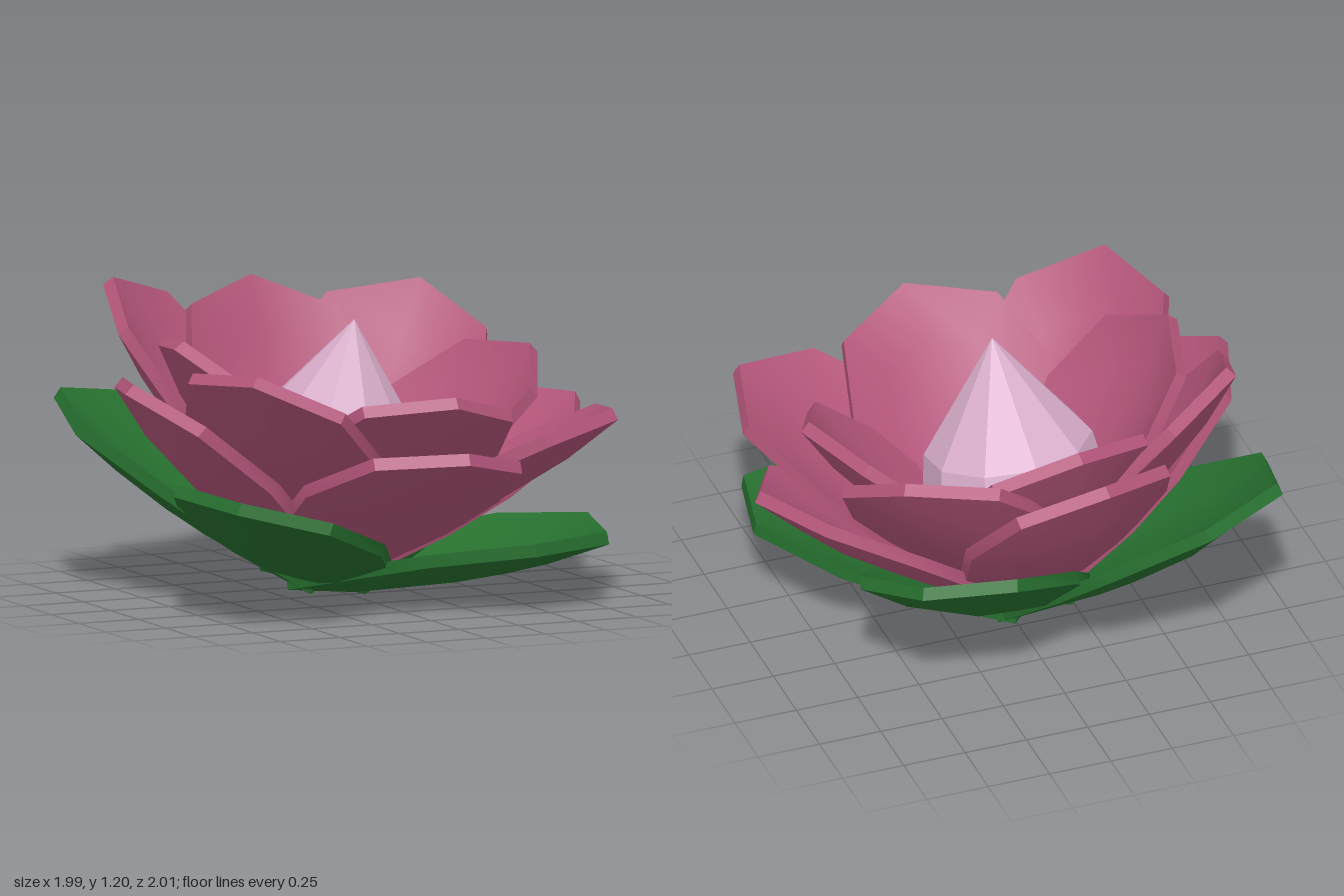
import * as THREE from 'three';
import { toCreasedNormals } from 'three/addons/utils/BufferGeometryUtils.js';

const material = (color) => new THREE.MeshStandardMaterial({ color });
const PINK = material(0xb3557a), GREEN = material(0x27702f), PALE = material(0xd9aecb);

// Half outline of a petal: [half width, fraction of length], tip to base
const HALF = [[0, 1], [0.32, 0.86], [0.42, 0.55], [0.37, 0.32], [0.21, 0.04]];
const OUTLINE = [...HALF, ...HALF.slice(1).reverse().map(([w, u]) => [-w, u])];

// Thick petal lying along +z, hollow side up: dished in the middle, sides curled up
function petalGeometry(length, dish, curl, thickness) {
  const rings = [[0, 0], [0.6, 0], [1, 0], [1, -thickness], [0.6, -thickness], [0, -thickness]];
  const n = OUTLINE.length, pos = [], index = [];
  for (const [rho, drop] of rings) {
    for (const [w, u] of OUTLINE) {
      const x = w * rho;
      pos.push(x, drop + curl * x * x - dish * (1 - rho * rho), (0.5 + (u - 0.5) * rho) * length);
    }
  }
  for (let k = 0; k < rings.length - 1; k++) {
    for (let i = 0; i < n; i++) {
      const j = (i + 1) % n, a = k * n + i, b = a + n, c = (k + 1) * n + j, d = k * n + j;
      if (rings[k + 1][0] > 0) index.push(a, b, c);
      if (rings[k][0] > 0) index.push(a, c, d);
    }
  }
  const g = new THREE.BufferGeometry();
  g.setAttribute('position', new THREE.Float32BufferAttribute(pos, 3));
  g.setIndex(index);
  return toCreasedNormals(g, 0.6);
}

// Ring of petals from a shared base radius and height to tips [turn in degrees, radius, height]
function whorl(name, mat, r0, h0, tips) {
  const group = new THREE.Group();
  group.name = name + 's';
  for (const [turn, r1, h1] of tips) {
    const geometry = petalGeometry(Math.hypot(r1 - r0, h1 - h0), 0.07, 0.35, 0.05);
    geometry.rotateX(-Math.atan2(h1 - h0, r1 - r0));
    geometry.translate(0, h0, r0);
    const petal = new THREE.Mesh(geometry, mat);
    petal.name = name;
    petal.rotation.y = THREE.MathUtils.degToRad(turn);
    group.add(petal);
  }
  return group;
}

export function createModel() {
  const model = new THREE.Group();
  model.name = 'flower';
  const up = new THREE.Vector3(0, 1, 0);

  // Leaning blossom, each ring in the order front, right, back, left
  const blossom = new THREE.Group();
  blossom.name = 'blossom';
  blossom.position.set(-0.08, 0, -0.14);
  blossom.quaternion.setFromUnitVectors(up, new THREE.Vector3(0.1, 1, 0.17).normalize());
  blossom.add(
    whorl('sepal', GREEN, -0.1, 0.05,
      [[47, 1.11, 0.5], [141, 0.97, 0.59], [230, 1.11, 0.56], [316, 1.11, 0.57]]),
    whorl('outerPetal', PINK, 0.03, 0.12,
      [[3, 1.0, 0.86], [92, 0.98, 0.82], [186, 0.99, 0.9], [276, 0.96, 0.82]]),
    whorl('middlePetal', PINK, 0.05, 0.17,
      [[47, 1.05, 0.98], [141, 0.97, 1.04], [232, 0.97, 1.04], [313, 1.0, 1.04]]),
    whorl('innerPetal', PINK, 0.05, 0.23,
      [[2, 0.86, 1.04], [89, 0.73, 1.02], [184, 0.85, 1.0], [275, 0.76, 0.99]]),
  );
  model.add(blossom);

  // Faceted pointed bud
  const profile = [[0, -0.02], [0.2, 0], [0.33, 0.11], [0.345, 0.3], [0.325, 0.42], [0, 0.86]]
    .map(([r, y]) => new THREE.Vector2(r, y));
  const bud = new THREE.Mesh(toCreasedNormals(new THREE.LatheGeometry(profile, 10), 0.1), PALE);
  bud.name = 'bud';
  bud.position.set(-0.09, 0.24, -0.06);
  bud.quaternion.setFromUnitVectors(up, new THREE.Vector3(0.06, 0.84, 0.18).normalize());
  model.add(bud);

  // Rest on the ground
  model.updateMatrixWorld(true);
  model.position.y = -new THREE.Box3().setFromObject(model, true).min.y;
  return model;
}
